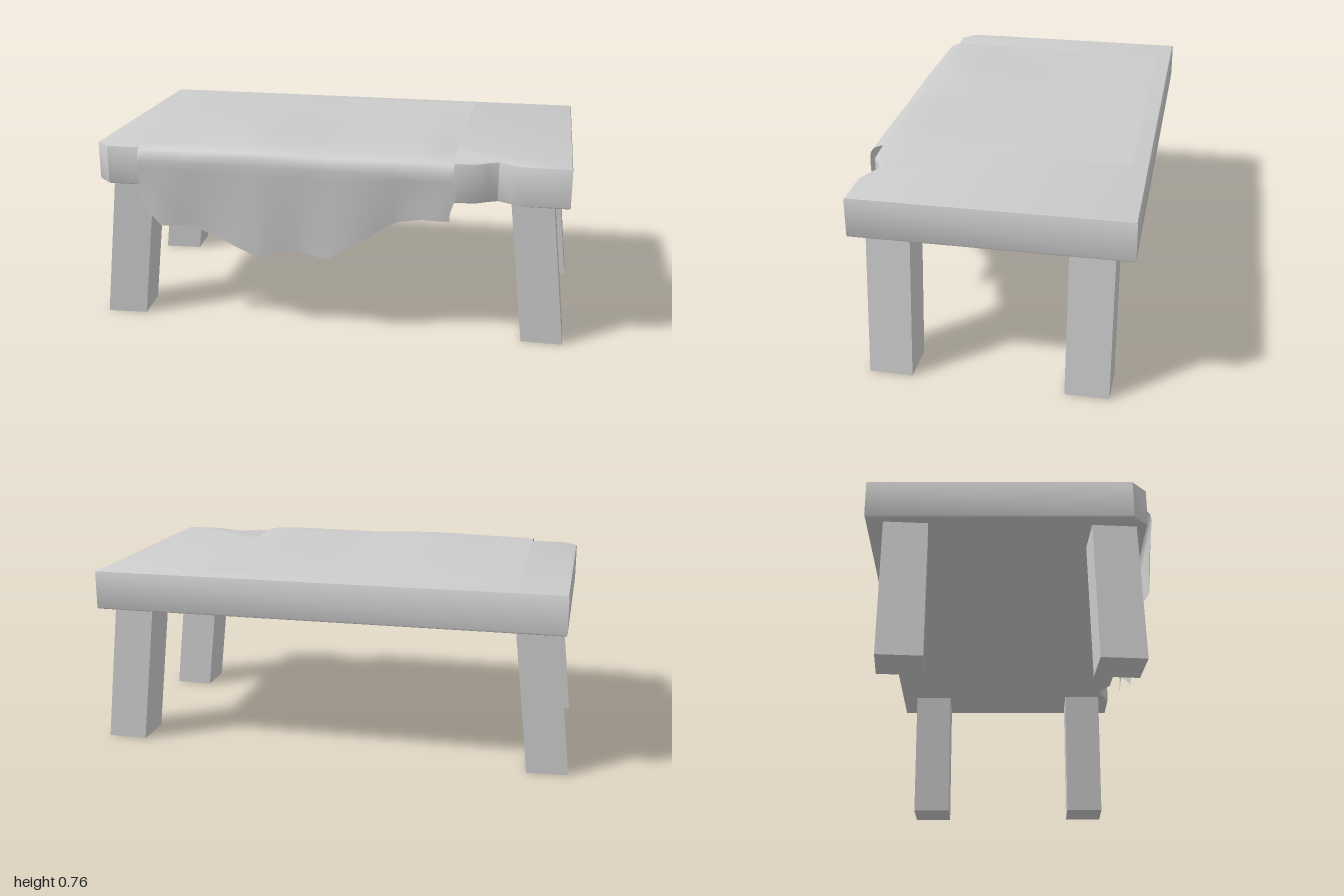
import * as THREE from 'three';
import { toCreasedNormals } from 'three/addons/utils/BufferGeometryUtils.js';

const TURN = 0.148; // the table stands slightly turned
const lerp = THREE.MathUtils.lerp;

// Piecewise linear lookup in a list of [x, y] points
function sample(points, x) {
  for (let i = 1; i < points.length; i++) {
    const [x0, y0] = points[i - 1], [x1, y1] = points[i];
    if (x <= x1) return lerp(y0, y1, (x - x0) / (x1 - x0));
  }
  return points[points.length - 1][1];
}

// Slab with a worn, chipped front edge
function makeTop(material) {
  const outline = [
    [-0.913, -0.52], [0.927, -0.52], [0.927, 0.503], [0.764, 0.504], [0.71, 0.48], [0.66, 0.455],
    [0.62, 0.475], [0.58, 0.5], [0.49, 0.505], [-0.733, 0.507], [-0.855, 0.51], [-0.913, 0.455],
  ];
  const shape = new THREE.Shape(outline.map(([x, z]) => new THREE.Vector2(x, z)));
  const slab = new THREE.ExtrudeGeometry(shape, {
    depth: 0.139, bevelThickness: 0.008, bevelSize: 0.008, bevelOffset: -0.008, bevelSegments: 2,
  });
  slab.rotateX(Math.PI / 2).translate(0, 0.712, 0);
  const mesh = new THREE.Mesh(toCreasedNormals(slab, 0.65), material);
  mesh.name = 'tableTop';
  return mesh;
}

// Square leg leaning inward: x and z give the centre of its foot
function makeLeg(name, x, z, turn, material) {
  const height = 0.58, lean = 0.064 * Math.sign(x);
  const leg = new THREE.BoxGeometry(0.158, height, 0.164).translate(0, height / 2, 0);
  const p = leg.attributes.position;
  for (let i = 0; i < p.count; i++) p.setX(i, p.getX(i) - lean * p.getY(i) / height);
  leg.computeVertexNormals();
  const mesh = new THREE.Mesh(leg, material);
  mesh.position.set(x, 0, z);
  mesh.rotation.y = turn;
  mesh.name = name;
  return mesh;
}

// Cloth lying over the top and hanging down in front with a ragged hem
function makeCloth(material) {
  const hem = [
    [-0.72, 0.5], [-0.64, 0.41], [-0.535, 0.42], [-0.26, 0.31], [-0.1, 0.335],
    [0.02, 0.315], [0.275, 0.475], [0.395, 0.5], [0.5, 0.5],
  ];
  const lift = [[-0.72, 0.004], [-0.28, 0.03], [0.02, 0.011], [0.38, 0.02], [0.5, 0.005]];
  // Rounded fold at the front edge, as [z, y]
  const fold = [[0.47, 0.732], [0.505, 0.728], [0.53, 0.717], [0.543, 0.7], [0.547, 0.675]];
  const perSpan = 4, topRows = 16, dropRows = 9;
  const cols = (hem.length - 1) * perSpan;
  const rows = topRows + fold.length + dropRows - 1;
  const geometry = new THREE.PlaneGeometry(1, 1, cols, rows);
  const p = geometry.attributes.position;
  for (let j = 0; j <= rows; j++) {
    for (let i = 0; i <= cols; i++) {
      const k = Math.min(Math.floor(i / perSpan), hem.length - 2);
      let x = lerp(hem[k][0], hem[k + 1][0], i / perSpan - k);
      const bottom = sample(hem, x), bulge = sample(lift, x);
      let y, z;
      if (j < topRows) {
        // Lying part, lifted most just behind the front edge
        const t = j / topRows;
        z = lerp(-0.46, 0.47, t);
        const rise = t < 0.9 ? t / 0.9 : 1 - (t - 0.9) * 4;
        y = 0.724 + 0.007 * t + bulge * rise;
      } else if (j < topRows + fold.length) {
        const f = j - topRows;
        [z, y] = fold[f];
        y += bulge * 0.55 * (1 - f / (fold.length - 1));
      } else {
        // Hanging part with soft ripples
        const t = (j - topRows - fold.length + 1) / dropRows;
        y = lerp(0.675, bottom, t);
        z = lerp(0.547, 0.525, t) + 0.008 * t * Math.sin(x * 17);
        x += 0.012 * Math.sin(t * 5) * (x > 0.3 ? 1 : 0);
      }
      p.setXYZ(j * (cols + 1) + i, x, y, z);
    }
  }
  geometry.computeVertexNormals();
  const mesh = new THREE.Mesh(geometry, material);
  mesh.name = 'cloth';
  return mesh;
}

export function createModel() {
  const group = new THREE.Group();
  group.name = 'tableWithCloth';
  const wood = new THREE.MeshStandardMaterial({ color: 0xcccccc });
  const fabric = new THREE.MeshStandardMaterial({ color: 0xcccccc, side: THREE.DoubleSide });

  const upper = new THREE.Group();
  upper.name = 'topAndCloth';
  upper.rotation.y = TURN;
  upper.add(makeTop(wood), makeCloth(fabric));
  group.add(upper);

  group.add(
    makeLeg('frontRightLeg', -0.772, 0.506, 0.22, wood),
    makeLeg('backRightLeg', -0.905, -0.244, 0.22, wood),
    makeLeg('frontLeftLeg', 0.898, 0.241, 0.14, wood),
    makeLeg('backLeftLeg', 0.8, -0.49, 0.14, wood),
  );
  return group;
}
